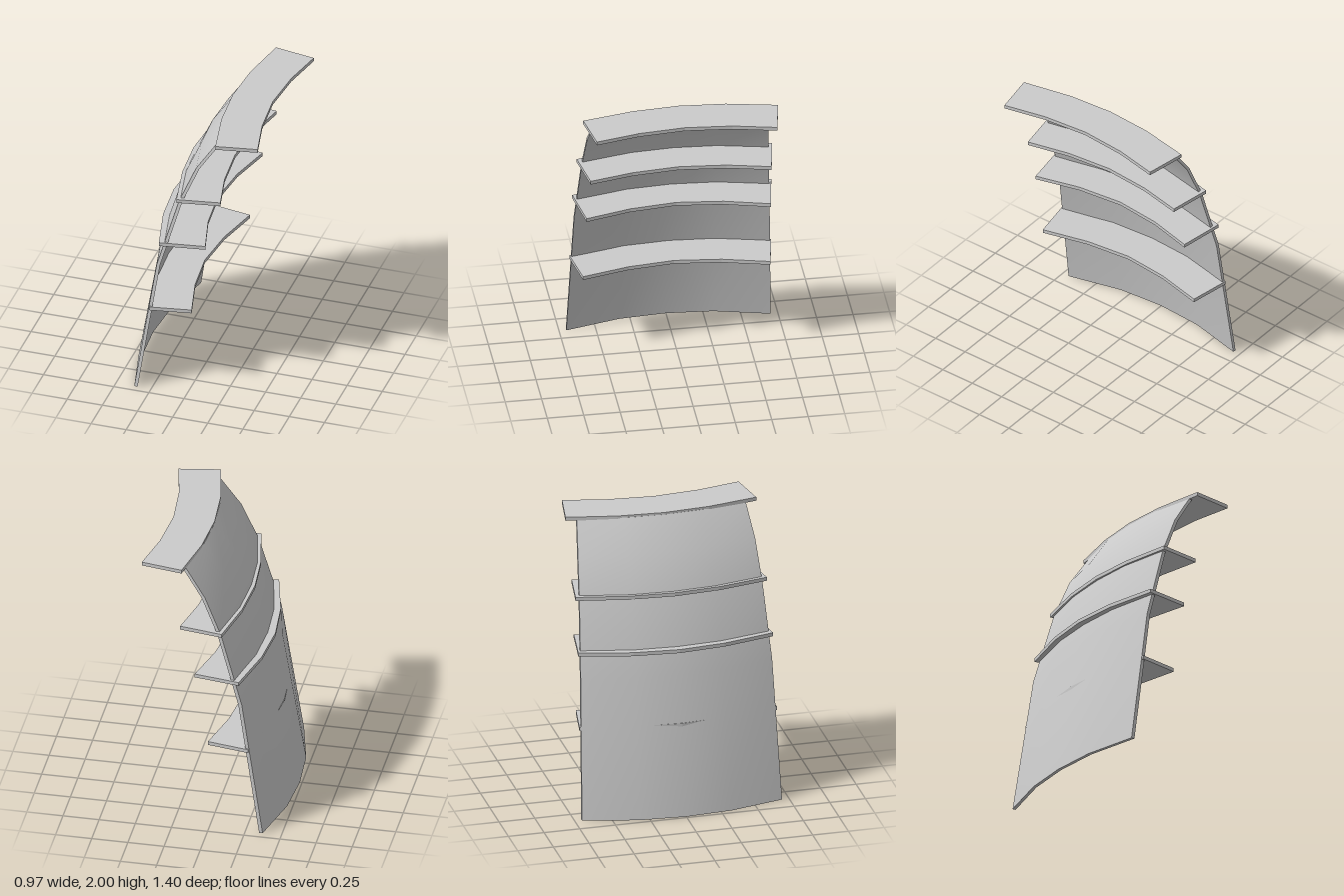
import * as THREE from 'three';
import { toCreasedNormals } from 'three/addons/utils/BufferGeometryUtils.js';

const material = new THREE.MeshStandardMaterial({ color: 0xcccccc });

// Curved panel: each row is [y, x at centre, half depth, how far the ends curl towards +x]
function panelGeometry() {
  const rows = [
    [0, -0.485, 0.7, 0.115],
    [0.98, -0.32, 0.67, 0.1],
    [1.5, -0.16, 0.64, 0.09],
    [1.77, -0.04, 0.62, 0.085],
    [1.985, 0.105, 0.59, 0.085],
  ];
  const thickness = 0.024;
  const across = [[-1, 1], [-0.46, 0.2], [0, 0], [0.46, 0.2], [1, 1]]; // depth and curl factors
  const n = across.length, ring = 2 * n;
  const positions = [], index = [];
  for (const [y, x, half, curl] of rows) {
    for (const [d, c] of across) positions.push(x + c * curl, y, d * half);
    for (const [d, c] of [...across].reverse()) positions.push(x + c * curl + thickness, y, d * half);
  }
  const quad = (a, b, c, d) => index.push(a, b, c, a, c, d);
  for (let i = 0; i < rows.length - 1; i++) {
    for (let j = 0; j < ring; j++) {
      const k = (j + 1) % ring, lo = i * ring, hi = lo + ring;
      quad(lo + j, lo + k, hi + k, hi + j);
    }
  }
  // bottom and top caps
  const top = (rows.length - 1) * ring;
  for (let j = 0; j < n - 1; j++) {
    quad(j, ring - 1 - j, ring - 2 - j, j + 1);
    quad(top + j, top + j + 1, top + ring - 2 - j, top + ring - 1 - j);
  }
  const geometry = new THREE.BufferGeometry();
  geometry.setAttribute('position', new THREE.Float32BufferAttribute(positions, 3));
  geometry.setIndex(index);
  return toCreasedNormals(geometry, 0.6);
}

// Curved shelf: a bent strip with slanted ends, hanging down from its top height
function shelfGeometry({ top, x, half, curl, width }) {
  const mid = 0.32, inner = half - 0.05;
  const shape = new THREE.Shape([
    [x + curl, -half], [x + 0.25 * curl, -mid], [x, 0], [x + 0.25 * curl, mid], [x + curl, half],
    [x + curl + width, inner], [x + 0.3 * curl + width, mid], [x + width, 0],
    [x + 0.3 * curl + width, -mid], [x + curl + width, -inner],
  ].map(([px, pz]) => new THREE.Vector2(px, pz)));
  const geometry = new THREE.ExtrudeGeometry(shape, { depth: 0.026, bevelEnabled: false });
  geometry.rotateX(Math.PI / 2);
  geometry.translate(0, top, 0);
  return geometry;
}

export function createModel() {
  const group = new THREE.Group();
  const add = (name, geometry) => {
    const mesh = new THREE.Mesh(geometry, material);
    mesh.name = name;
    group.add(mesh);
  };

  add('curvedPanel', panelGeometry());

  // Shelves from bottom to top
  const shelves = [
    { top: 0.646, x: -0.38, half: 0.692, curl: 0.113, width: 0.287 },
    { top: 1.165, x: -0.316, half: 0.682, curl: 0.115, width: 0.315 },
    { top: 1.525, x: -0.175, half: 0.67, curl: 0.095, width: 0.297 },
    { top: 2, x: 0.105, half: 0.668, curl: 0.092, width: 0.285 },
  ];
  shelves.forEach((shelf, i) => add(`shelf${i + 1}`, shelfGeometry(shelf)));

  return group;
}
